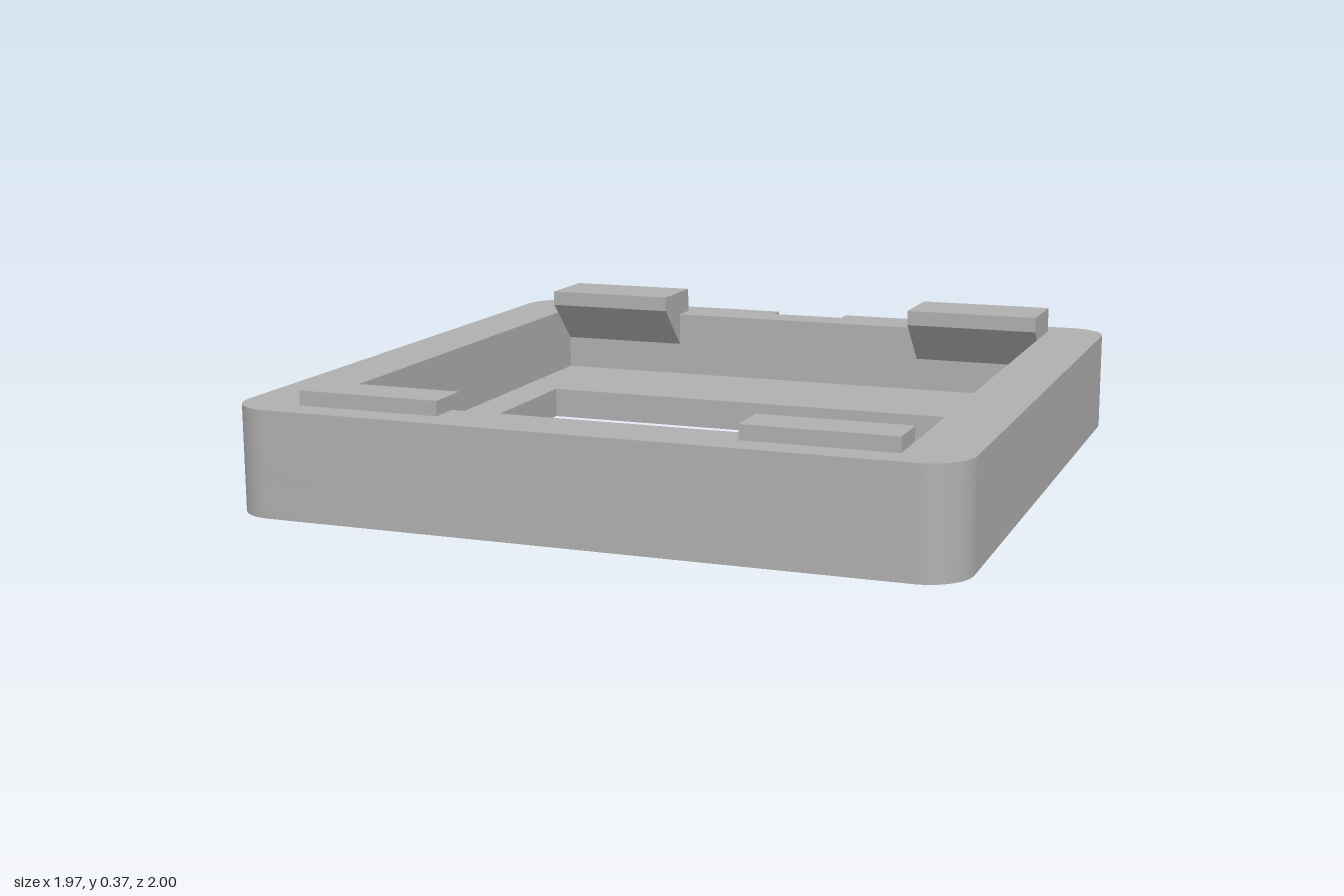
import * as THREE from 'three';
import { toCreasedNormals } from 'three/addons/utils/BufferGeometryUtils.js';

const W = 0.985, D = 1, R = 0.12;          // outer half width, half depth, corner radius
const FLOOR = 0.09, NOTCH_Y = 0.25, TOP = 0.29;

// Plan outline with shape y pointing to the back; optionally notched in the back edge
function outline(notched) {
  const s = new THREE.Shape();
  s.moveTo(-W + R, -D);
  s.lineTo(W - R, -D);
  s.absarc(W - R, -D + R, R, -Math.PI / 2, 0);
  s.lineTo(W, D - R);
  s.absarc(W - R, D - R, R, 0, Math.PI / 2);
  if (notched) {
    s.lineTo(0.117, D);
    s.lineTo(0.117, 0.945);
    s.lineTo(-0.117, 0.945);
    s.lineTo(-0.117, D);
  }
  s.lineTo(-W + R, D);
  s.absarc(-W + R, D - R, R, Math.PI / 2, Math.PI);
  s.lineTo(-W, -D + R);
  s.absarc(-W + R, -D + R, R, Math.PI, Math.PI * 1.5);
  return s;
}

function rectHole(x, y0, y1) {
  return new THREE.Path([[-x, y0], [-x, y1], [x, y1], [x, y0]].map(p => new THREE.Vector2(...p)));
}

// Horizontal slab between two heights
function slab(shape, hole, y0, y1) {
  shape.holes.push(hole);
  const g = new THREE.ExtrudeGeometry(shape, { depth: y1 - y0, bevelEnabled: false, curveSegments: 14 });
  g.rotateX(-Math.PI / 2).translate(0, y0, 0);
  return toCreasedNormals(g, 0.5);
}

// Clip: a (z, y) profile swept along x
function clip(profile, x0, x1) {
  const shape = new THREE.Shape(profile.map(p => new THREE.Vector2(...p)));
  const g = new THREE.ExtrudeGeometry(shape, { depth: x1 - x0, bevelEnabled: false });
  return g.rotateY(-Math.PI / 2).translate(x1, 0, 0);
}

export function createModel() {
  const grey = new THREE.MeshStandardMaterial({ color: 0xb0b0b0 });
  grey.name = 'grey plastic';
  const group = new THREE.Group();
  group.name = 'frame';
  const add = (name, geometry) => {
    const mesh = new THREE.Mesh(geometry, grey);
    mesh.name = name;
    group.add(mesh);
  };

  // Tray: floor with window, side walls, and rim with a notch at the back
  add('floor', slab(outline(false), rectHole(0.69, -0.31, 0.44), 0, FLOOR));
  add('walls', slab(outline(false), rectHole(0.81, -0.83, 0.83), FLOOR, NOTCH_Y));
  add('rim', slab(outline(true), rectHole(0.81, -0.83, 0.83), NOTCH_Y, TOP));

  // Retaining clips overhanging the cavity, with sloped undersides
  const back = [[-0.91, TOP], [-0.83, TOP], [-0.83, 0.19], [-0.7, 0.32], [-0.7, 0.365], [-0.91, 0.365]];
  const front = [[0.785, TOP], [0.83, 0.245], [0.83, TOP], [0.915, TOP], [0.915, 0.33], [0.785, 0.33]];
  for (const [side, x0, x1] of [['left', 0.405, 0.81], ['right', -0.81, -0.41]]) {
    add(side + 'BackClip', clip(back, x0, x1));
    add(side + 'FrontClip', clip(front, x0, x1));
  }
  return group;
}
